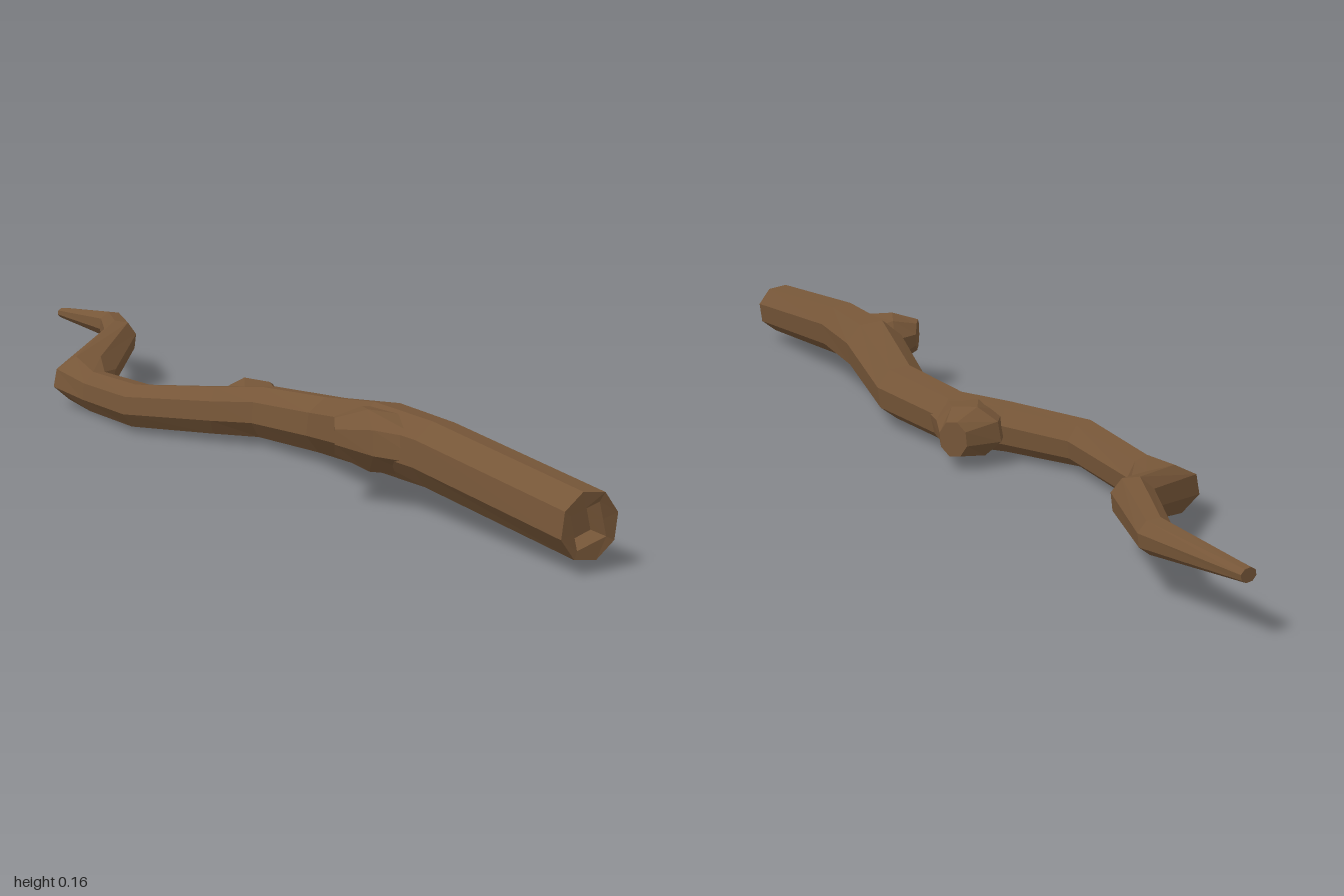
import * as THREE from 'three';

const SIDES = 8;
const TWIST = Math.PI / 12;

// Ring: [left x, left z, right x, right z, bottom y, top y, square?]
function ringPoints([lx, lz, rx, rz, y0, y1, square]) {
  const grow = 1 / Math.cos(TWIST);
  return Array.from({ length: SIDES }, (_, j) => {
    const a = TWIST + (j / SIDES) * Math.PI * 2;
    const k = grow * (square && j % 2 === 0 ? Math.SQRT1_2 : 1);
    const c = Math.cos(a) * k, s = Math.sin(a) * k;
    return new THREE.Vector3(
      (lx + rx) / 2 + c * (rx - lx) / 2,
      (y0 + y1) / 2 + s * (y1 - y0) / 2,
      (lz + rz) / 2 + c * (rz - lz) / 2);
  });
}

// Faceted skin over successive rings, closed at both ends
function loft(rows) {
  const rings = rows.map(ringPoints);
  const pos = [];
  const tri = (...pts) => pts.forEach(p => pos.push(p.x, p.y, p.z));
  const middle = ring => ring.reduce((m, p) => m.addScaledVector(p, 1 / SIDES), new THREE.Vector3());
  const first = rings[0], last = rings[rings.length - 1];
  const m0 = middle(first), m1 = middle(last);
  for (let j = 0; j < SIDES; j++) {
    const n = (j + 1) % SIDES;
    tri(m0, first[j], first[n]);
    for (let i = 0; i < rings.length - 1; i++) {
      const a = rings[i], b = rings[i + 1];
      tri(a[j], b[j], a[n]);
      tri(a[n], b[j], b[n]);
    }
    tri(m1, last[n], last[j]);
  }
  const g = new THREE.BufferGeometry();
  g.setAttribute('position', new THREE.Float32BufferAttribute(pos, 3));
  g.computeVertexNormals();
  return g;
}

export function createModel() {
  const group = new THREE.Group();
  group.name = 'crookedStick';
  const bark = new THREE.MeshStandardMaterial({ color: 0x765638 });
  bark.name = 'brown bark';

  const parts = {
    // Crooked tapering branch, starting inside the square hollow of the thick end
    branch: [
      [-0.184, 0.972, -0.134, 0.975, 0.049, 0.099, true],
      [-0.198, 0.988, -0.121, 0.996, 0.035, 0.112, true],
      [-0.21, 0.987, -0.106, 1.0, 0.021, 0.127],
      [-0.163, 0.61, -0.06, 0.63, 0.048, 0.161],
      [-0.14, 0.43, -0.022, 0.46, 0.043, 0.161],
      [-0.06, 0.21, 0.045, 0.23, 0.018, 0.124],
      [-0.055, 0.04, 0.042, 0.01, 0.014, 0.113],
      [-0.095, -0.035, -0.03, -0.09, 0.013, 0.106],
      [-0.176, -0.21, -0.09, -0.215, 0.009, 0.095],
      [-0.142, -0.41, -0.062, -0.425, 0.002, 0.086],
      [-0.137, -0.53, 0.0, -0.505, 0.006, 0.1],
      [0.068, -0.66, 0.122, -0.61, 0.064, 0.143],
      [0.15, -0.8, 0.208, -0.785, 0.076, 0.135],
      [0.162, -1.0, 0.192, -1.0, 0.096, 0.119],
    ],
    // Cut-off stub near the thick end
    leftStub: [
      [-0.14, 0.62, -0.05, 0.38, 0.055, 0.155],
      [-0.175, 0.53, -0.105, 0.408, 0.055, 0.162],
      [-0.209, 0.472, -0.167, 0.42, 0.085, 0.148],
    ],
    // Cut-off stub at the middle bend
    rightStub: [
      [-0.07, -0.05, 0.04, 0.05, 0.016, 0.108],
      [-0.012, -0.114, 0.057, 0.0, 0.015, 0.112],
      [0.06, -0.107, 0.086, -0.055, 0.027, 0.095],
    ],
  };
  for (const [name, rows] of Object.entries(parts)) {
    const mesh = new THREE.Mesh(loft(rows), bark);
    mesh.name = name;
    group.add(mesh);
  }
  return group;
}
